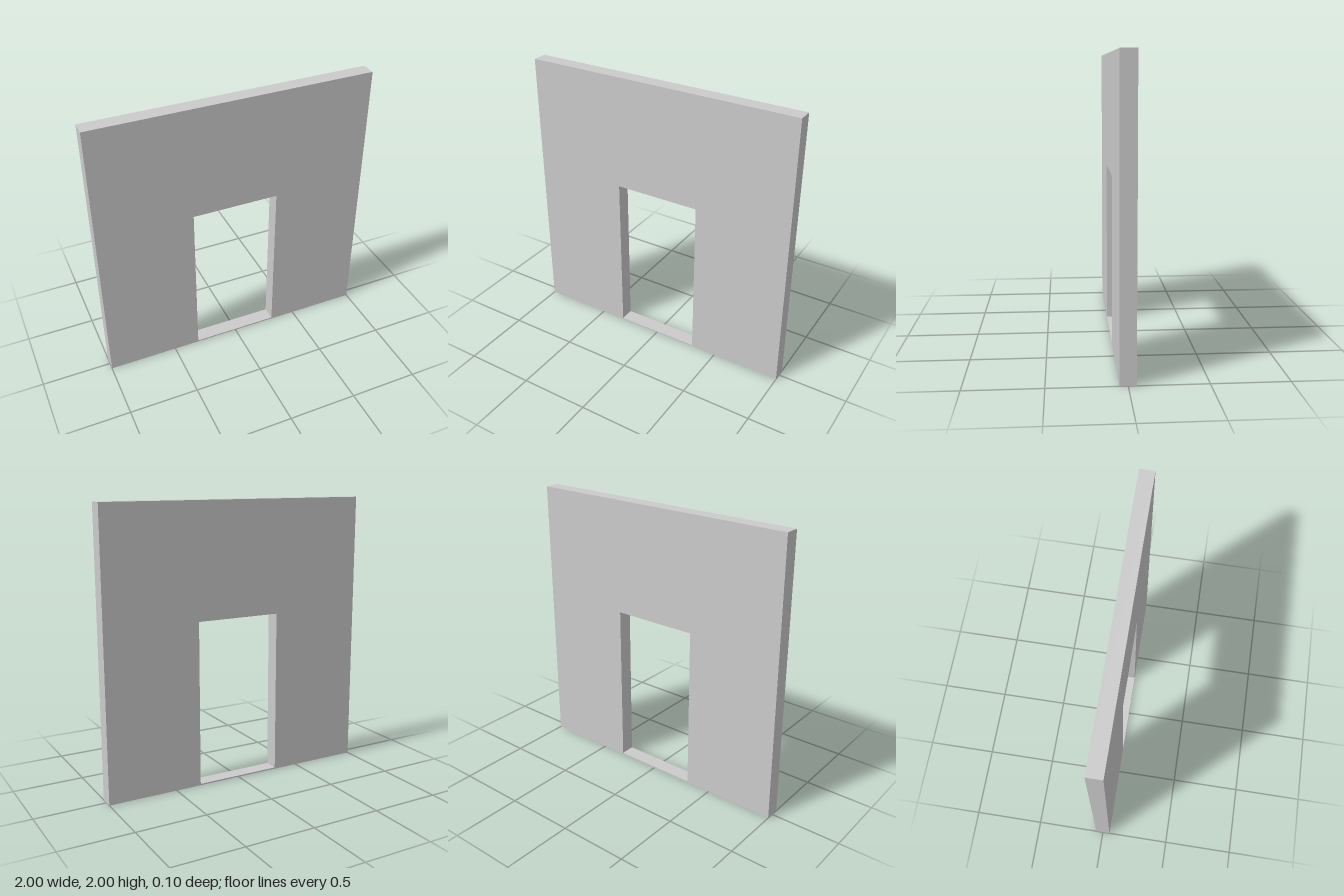
import * as THREE from 'three';

const SIZE = 2, THICKNESS = 0.105;
const DOOR_HALF = 0.3125, DOOR_TOP = 1.185, SILL = 0.01;

export function createModel() {
  const group = new THREE.Group();
  group.name = 'doorwayWall';

  // Square wall outline
  const h = SIZE / 2;
  const outline = new THREE.Shape([
    new THREE.Vector2(-h, 0),
    new THREE.Vector2(h, 0),
    new THREE.Vector2(h, SIZE),
    new THREE.Vector2(-h, SIZE),
  ]);

  // Doorway opening, leaving a thin threshold at the floor
  outline.holes.push(new THREE.Path([
    new THREE.Vector2(-DOOR_HALF, SILL),
    new THREE.Vector2(-DOOR_HALF, DOOR_TOP),
    new THREE.Vector2(DOOR_HALF, DOOR_TOP),
    new THREE.Vector2(DOOR_HALF, SILL),
  ]));

  // Wall slab, centred in depth
  const geometry = new THREE.ExtrudeGeometry(outline, { depth: THICKNESS, bevelEnabled: false });
  geometry.translate(0, 0, -THICKNESS / 2);
  const wall = new THREE.Mesh(
    geometry,
    new THREE.MeshStandardMaterial({ color: 0xcccccc, flatShading: true })
  );
  wall.name = 'wall';
  group.add(wall);

  return group;
}
